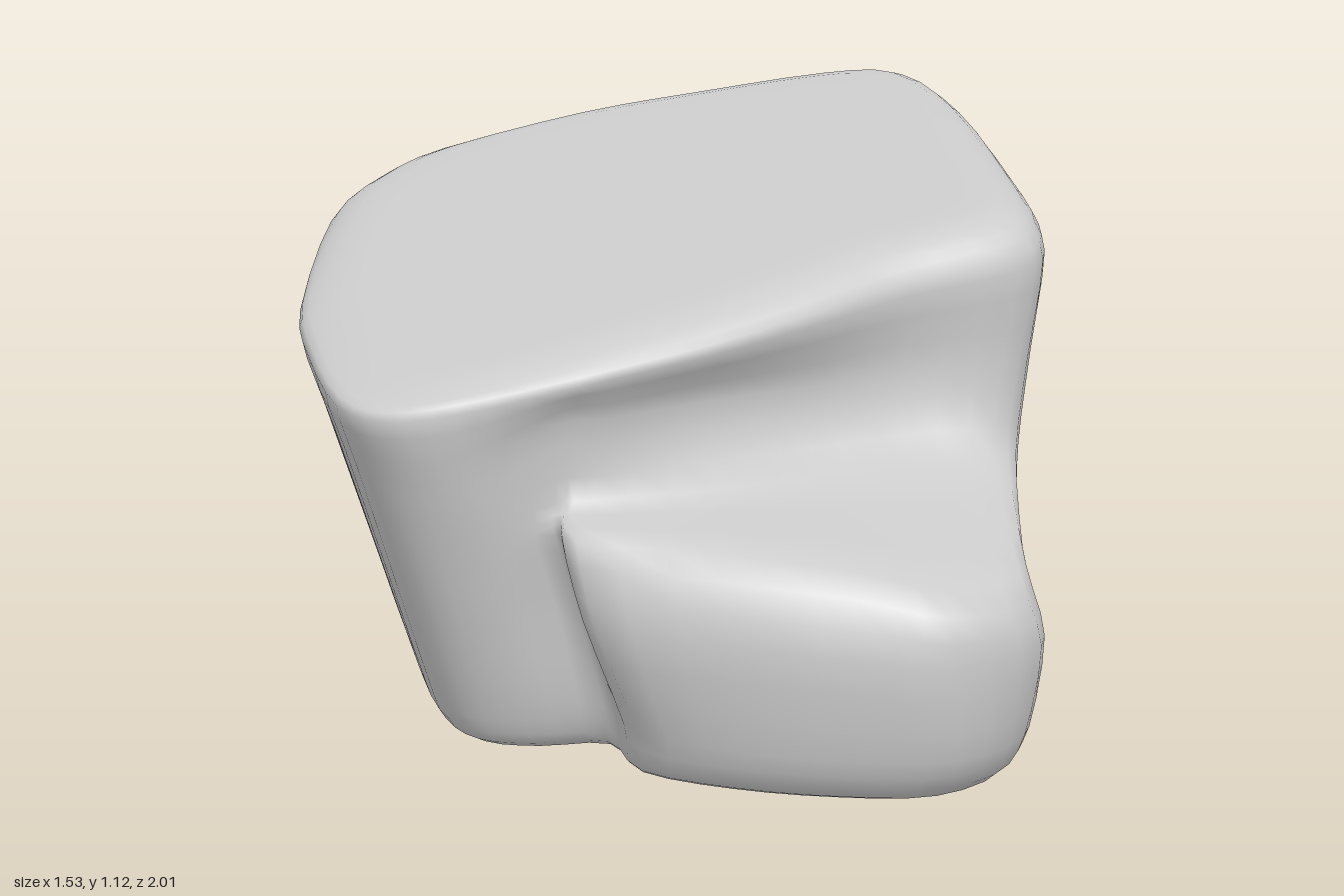
import * as THREE from 'three';
import { mergeVertices } from 'three/addons/utils/BufferGeometryUtils.js';

// Outlines [x, z] of the boulder: back, left, front, right
const RIM = [[-.1, -1], [-.46, -.9], [-.61, -.76], [-.7, -.55], [-.765, 0], [-.75, .3], [-.7, .6],
  [-.62, .72], [-.49, .735], [-.3, .69], [-.2, .665], [0, .61], [.2, .53], [.4, .44], [.63, .385],
  [.71, .28], [.74, 0], [.76, -.5], [.715, -.86], [.55, -.97], [.2, -1]];
const BASE = [[-.1, -.82], [-.36, -.75], [-.47, -.63], [-.53, -.45], [-.575, 0], [-.57, .2], [-.54, .45],
  [-.48, .57], [-.37, .61], [-.22, .62], [-.17, .78], [0, .89], [.2, .96], [.38, .98], [.53, .88],
  [.57, .68], [.59, .1], [.59, -.4], [.55, -.72], [.43, -.81], [.15, -.83]];

// Ledge cross-sections [x, y, z] replacing columns 9 to 15
const FIRST = 9;
const LEDGE = [
  [[-.27, .33, .64], [-.25, .33, .8], [-.02, .33, .91], [.2, .32, .98], [.37, .3, 1], [.55, .3, .9], [.585, .3, .66]],
  [[-.31, .47, .66], [-.28, .49, .76], [-.03, .48, .84], [.19, .46, .9], [.36, .43, .94], [.52, .42, .85], [.58, .44, .6]],
  [[-.31, .53, .65], [-.24, .53, .64], [0, .53, .6], [.2, .53, .55], [.4, .53, .5], [.57, .53, .46], [.65, .53, .35]],
  [[-.3, .68, .65], [-.2, .68, .62], [0, .69, .55], [.2, .69, .48], [.4, .7, .42], [.6, .7, .39], [.685, .7, .29]],
];
const LEVELS = [.26, .48, .62, .8];

const topY = (x, z) => .933 + .16 * x - .125 * z; // tilted top plane
const rimY = (x, z) => topY(x, z) - (.085 + .05 * x - .035 * z);
const V = (x, y, z) => new THREE.Vector3(x, y, z);

function buildRings() {
  const base = BASE.map(([x, z]) => V(x, .12, z));
  const rim = RIM.map(([x, z]) => V(x, rimY(x, z), z));
  const foot = (s, y) => base.map(p => V(p.x * s, y, .05 + (p.z - .05) * s));
  const crown = (s, drop) => RIM.map(([x, z]) => {
    const px = x * s, pz = -.13 + (z + .13) * s;
    return V(px, topY(px, pz) - drop * (topY(x, z) - rimY(x, z)), pz);
  });
  const walls = LEVELS.map((t, k) => base.map((p, j) => {
    const ledge = LEDGE[k][j - FIRST];
    return ledge ? V(...ledge) : p.clone().lerp(rim[j], t);
  }));
  return [foot(0, 0), foot(.5, 0), foot(.8, 0), foot(.94, .03), base, ...walls,
    rim, crown(.95, .3), crown(.83, 0), crown(.45, 0), crown(0, 0)];
}

// Smooth skin through all rings
function buildSkin() {
  const across = RIM.length * 3, rings = buildRings(), up = (rings.length - 1) * 3;
  const loops = rings.map(r => {
    const curve = new THREE.CatmullRomCurve3(r, true, 'catmullrom', .5);
    return Array.from({ length: across }, (_, j) => curve.getPoint(j / across));
  });
  const pos = [], index = [];
  for (let j = 0; j < across; j++) {
    const column = new THREE.CatmullRomCurve3(loops.map(l => l[j]), false, 'catmullrom', .4);
    for (let i = 0; i <= up; i++) {
      const p = column.getPoint(i / up);
      pos.push(p.x, Math.max(0, Math.min(p.y, topY(p.x, p.z))), p.z);
      if (i < up) {
        const a = j * (up + 1) + i, b = ((j + 1) % across) * (up + 1) + i;
        if (i > 0) index.push(a, b, a + 1);
        if (i < up - 1 || i === 0) index.push(b, b + 1, a + 1);
      }
    }
  }
  const geometry = new THREE.BufferGeometry();
  geometry.setAttribute('position', new THREE.Float32BufferAttribute(pos, 3));
  geometry.setIndex(index);
  const merged = mergeVertices(geometry, 1e-4);
  merged.computeVertexNormals();
  return merged;
}

export function createModel() {
  const group = new THREE.Group();
  group.name = 'boulder';
  const rock = new THREE.Mesh(buildSkin(), new THREE.MeshStandardMaterial({ color: 0xcccccc }));
  rock.name = 'rockWithLedge';
  group.add(rock);
  return group;
}
